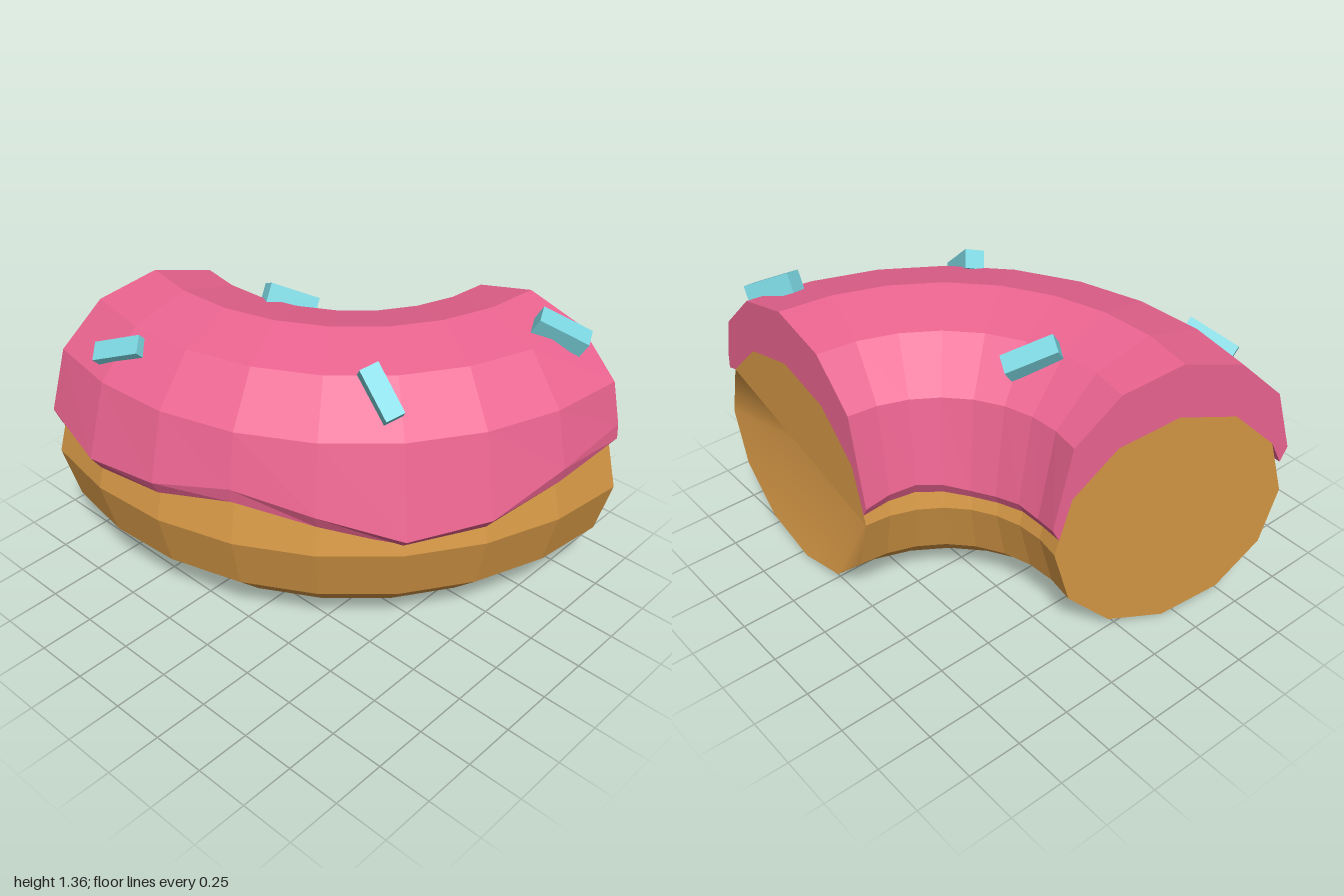
import * as THREE from 'three';

const CX = -0.56, CZ = -0.79;          // centre of the whole ring
const R = 1.025, r = 0.53;             // ring radius and tube radius
const STEPS = 8, ARC = THREE.MathUtils.degToRad(106.3);
const LIFT = 0.25;                     // icing sits this much higher than the dough

// Point on the ring: angle around it, offset from the tube centre, height
const at = (angle, offset, y) => [
  CX + (R + offset) * Math.cos(angle), y, CZ + (R + offset) * Math.sin(angle)];

// Corner k of the twelve-sided tube section
const corner = (k, lift = 0) => {
  const a = k * Math.PI / 6;
  return [r * Math.cos(a), r + r * Math.sin(a) + lift];
};

function geometryFrom(positions, index) {
  const g = new THREE.BufferGeometry();
  g.setAttribute('position', new THREE.Float32BufferAttribute(positions, 3));
  g.setIndex(index);
  g.computeVertexNormals();
  return g;
}

// Sweep closed sections round the arc; startLoop picks the corners of the start cap
function sweep(sectionAt, startLoop) {
  const positions = [], index = [];
  const n = sectionAt(0).length;
  for (let i = 0; i <= STEPS; i++)
    for (const [o, y] of sectionAt(i)) positions.push(...at(ARC * i / STEPS, o, y));
  for (let i = 0; i < STEPS; i++)
    for (let k = 0; k < n; k++) {
      const a = i * n + k, b = i * n + (k + 1) % n;
      index.push(a, b, b + n, a, b + n, a + n);
    }
  const all = [...Array(n).keys()];
  const cap = (ring, loop, flip) => {
    const section = sectionAt(ring);
    const contour = loop.map(k => new THREE.Vector2(...section[k]));
    for (const [a, b, c] of THREE.ShapeUtils.triangulateShape(contour, [])) {
      const t = [a, b, c].map(j => ring * n + loop[j]);
      index.push(...(flip ? t.reverse() : t));
    }
  };
  cap(0, startLoop || all, true);
  cap(STEPS, all, false);
  return geometryFrom(positions, index);
}

// Wavy lower rim of the icing, ring by ring
const outerRim = [0.85, 0.79, 0.675, 0.64, 0.74, 0.805, 0.735, 0.70, 0.755];
const innerRim = [0.62, 0.65, 0.67, 0.66, 0.64, 0.64, 0.65, 0.64, 0.66];

function icingSection(i) {
  const out = outerRim[i], inn = innerRim[i];
  const section = [[0.51, out - 0.07], [r + (0.78 - out) * 0.35, out]];
  for (let k = 1; k <= 5; k++) section.push(corner(k, LIFT));
  section.push([-0.54, inn], [-0.51, inn - 0.06]);
  for (let k = 5; k >= 1; k--) section.push(corner(k));   // underside follows the dough
  return section;
}

// Hollow in the lower part of the start face, a smooth fan to a point inside
function hollowGeometry() {
  const positions = at(0.28, -0.41, 0.6), index = [];
  const n = 8;
  for (let j = 0; j < n; j++) {
    positions.push(...at(0, ...corner(6 + j)));
    index.push(0, 1 + (j + 1) % n, 1 + j);
  }
  return geometryFrom(positions, index);
}

export function createModel() {
  const group = new THREE.Group();
  const material = (color, extra) => new THREE.MeshStandardMaterial({ color, flatShading: true, ...extra });
  const add = (name, geometry, mat) => {
    const mesh = new THREE.Mesh(geometry, mat);
    mesh.name = name;
    group.add(mesh);
    return mesh;
  };

  // Dough, its start face covered only in the upper part
  const doughSection = () => Array.from({ length: 12 }, (_, k) => corner(k));
  add('dough', sweep(doughSection, [1, 2, 3, 4, 5, 6]), material(0xd39645));
  add('doughHollow', hollowGeometry(),
    material(0xd39645, { flatShading: false, side: THREE.DoubleSide }));

  // Icing
  add('icing', sweep(icingSection), material(0xe9638f));

  // Sprinkles: centre and long direction, lying against the icing
  const sprinkles = [
    [[-0.63, 1.15, 0.58], [0.20, 0.08, -0.08]],
    [[0.43, 1.20, 0.14], [0.18, -0.16, 0.03]],
    [[0.72, 1.26, -0.66], [0.18, -0.10, -0.12]],
    [[-0.34, 1.22, -0.135], [0.12, -0.09, -0.16]],
  ];
  const box = new THREE.BoxGeometry(0.23, 0.085, 0.085);
  const blue = material(0x7ad4de);
  for (const [centre, direction] of sprinkles) {
    const p = new THREE.Vector3(...centre);
    const angle = Math.atan2(p.z - CZ, p.x - CX);
    const along = new THREE.Vector3(...direction).normalize();
    const outward = p.clone().sub(new THREE.Vector3(...at(angle, 0, r + LIFT)));
    const side = along.clone().cross(outward).normalize();
    const up = side.clone().cross(along);
    const mesh = add('sprinkle', box, blue);
    mesh.position.copy(p);
    mesh.quaternion.setFromRotationMatrix(new THREE.Matrix4().makeBasis(along, up, side));
  }
  return group;
}
